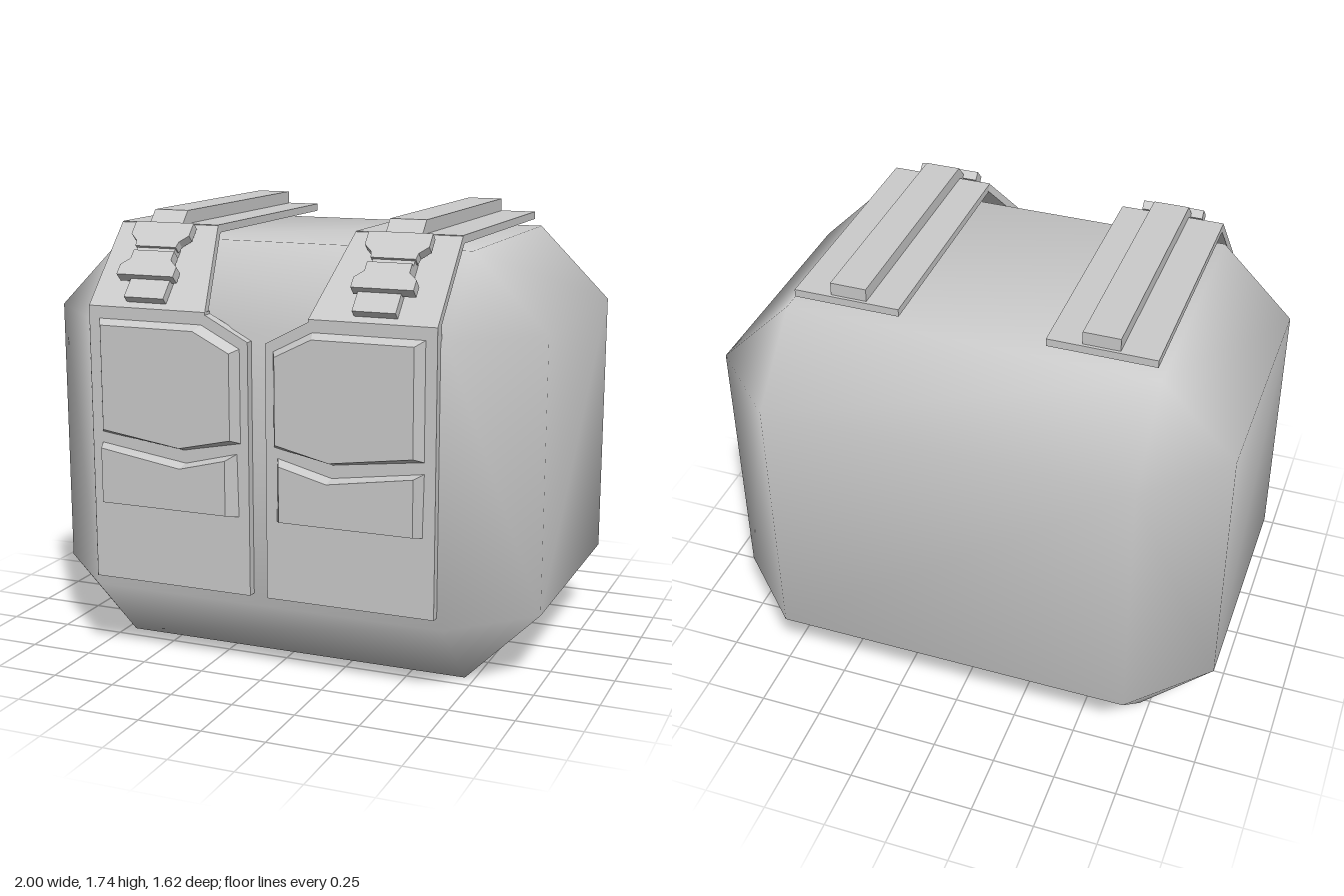
import * as THREE from 'three';
import { mergeVertices } from 'three/addons/utils/BufferGeometryUtils.js';
import { ConvexGeometry } from 'three/addons/geometries/ConvexGeometry.js';

const smoothMat = new THREE.MeshStandardMaterial({ color: 0xcccccc });
const flatMat = new THREE.MeshStandardMaterial({ color: 0xcccccc, flatShading: true });

// Solid between a back outline at depth z0 and a front outline at depth z1
function prism(back, front, z0, z1) {
  const fix = (pts) => pts.map(([x, y]) => new THREE.Vector2(x, y));
  let b = fix(back), f = fix(front);
  if (THREE.ShapeUtils.isClockWise(f)) { b = b.reverse(); f = f.reverse(); }
  const n = f.length, pos = [], idx = [];
  b.forEach((p) => pos.push(p.x, p.y, z0));
  f.forEach((p) => pos.push(p.x, p.y, z1));
  for (let i = 0; i < n; i++) {
    const j = (i + 1) % n;
    idx.push(i, j, n + j, i, n + j, n + i);
  }
  for (const [p, q, r] of THREE.ShapeUtils.triangulateShape(f, [])) idx.push(n + p, n + q, n + r);
  for (const [p, q, r] of THREE.ShapeUtils.triangulateShape(b, [])) idx.push(p, r, q);
  const g = new THREE.BufferGeometry();
  g.setAttribute('position', new THREE.Float32BufferAttribute(pos, 3));
  g.setIndex(idx);
  const out = g.toNonIndexed();
  out.computeVertexNormals();
  return out;
}

function add(group, name, geometry, material = flatMat) {
  const mesh = new THREE.Mesh(geometry, material);
  mesh.name = name;
  group.add(mesh);
  return mesh;
}

// Smooth chamfered block
function bodyGeometry() {
  const h = [1, 0.815, 0.765], c = 0.288, pts = [];
  for (const sx of [-1, 1]) for (const sy of [-1, 1]) for (const sz of [-1, 1])
    for (let axis = 0; axis < 3; axis++) {
      const [x, y, z] = h.map((v, i) => (i === axis ? v : v - c));
      pts.push(new THREE.Vector3(sx * x, sy * y + 0.815, sz * z - 0.045));
    }
  const g = new ConvexGeometry(pts);
  g.deleteAttribute('normal');
  const merged = mergeVertices(g, 1e-4);
  merged.computeVertexNormals();
  return merged;
}

// Frame of the sloped strap: y runs up the slope, z points out of it
const SY = 0.725, SZ = 0.688;
const slope = new THREE.Matrix4().makeBasis(
  new THREE.Vector3(1, 0, 0), new THREE.Vector3(0, SY, -SZ), new THREE.Vector3(0, SZ, SY)
).setPosition(0, 1.4, 0.755);
// Side profiles: local x is the model's z, local z is the model's -x
const sideways = new THREE.Matrix4().makeBasis(
  new THREE.Vector3(0, 0, 1), new THREE.Vector3(0, 1, 0), new THREE.Vector3(-1, 0, 0));

function createSide(s) {
  const side = new THREE.Group();
  side.name = s > 0 ? 'leftStrap' : 'rightStrap';
  const m = (pts) => pts.map(([x, y]) => [x * s, y]);
  const plate = (name, pts, z0, z1, frontPts = pts) => add(side, name, prism(m(pts), m(frontPts), z0, z1));
  const onSlope = (name, pts, z0, z1) => plate(name, pts, z0, z1).geometry.applyMatrix4(slope);

  // Front panel with a cut inner corner
  plate('frontPanel', [[0.035, 0.335], [0.69, 0.335], [0.69, 1.4], [0.205, 1.4], [0.205, 1.39], [0.035, 1.3]], 0.71, 0.755);

  // Pocket and its overhanging flap
  plate('pocketFlap',
    [[0.065, 1.275], [0.22, 1.355], [0.65, 1.355], [0.65, 0.915], [0.3, 0.872], [0.065, 0.918]], 0.75, 0.8,
    [[0.09, 1.262], [0.235, 1.335], [0.62, 1.335], [0.62, 0.935], [0.3, 0.89], [0.09, 0.938]]);
  plate('pocket',
    [[0.075, 0.637], [0.645, 0.637], [0.65, 0.875], [0.295, 0.825], [0.08, 0.88]], 0.75, 0.81,
    [[0.108, 0.652], [0.625, 0.652], [0.625, 0.865], [0.295, 0.814], [0.108, 0.862]]);

  // Sloped and flat parts of the strap
  onSlope('slopedStrap', [[0.205, 0], [0.69, 0], [0.69, 0.4], [0.28, 0.4]], -0.03, 0);
  const top = new THREE.BoxGeometry(0.41, 0.03, 0.975);
  add(side, 'topStrap', top.translate(0.485 * s, 1.675, -0.005));

  // Raised webbing that bends over the front edge
  const at = (v, h) => [0.755 - SZ * v + SY * h, 1.4 + SY * v + SZ * h];
  const web = [[-0.48, 1.685], [-0.48, 1.74], [0.475, 1.74], at(0.2, 0.03), at(0.2, -0.005), [0.47, 1.685]];
  const x0 = -0.48 * s;
  add(side, 'webbing', prism(web, web, x0 - 0.07, x0 + 0.07).applyMatrix4(sideways));

  // Buckle: two flared halves and a tongue
  const flared = (cx, pts) => [
    ...pts.map(([w, v]) => [cx + w, v]),
    ...[...pts].reverse().map(([w, v]) => [cx - w, v])];
  onSlope('buckleUpper', flared(0.475, [[0.085, 0.249], [0.09, 0.275], [0.122, 0.305], [0.122, 0.365]]), 0.015, 0.05);
  onSlope('buckleLower', flared(0.47, [[0.118, 0.11], [0.118, 0.155], [0.085, 0.185], [0.085, 0.225]]), 0.015, 0.057);
  onSlope('buckleBridge', flared(0.475, [[0.08, 0.2], [0.08, 0.27]]), -0.005, 0.04);
  onSlope('buckleTongue', flared(0.455, [[0.082, 0.026], [0.082, 0.13]]), -0.005, 0.032);
  return side;
}

export function createModel() {
  const model = new THREE.Group();
  model.name = 'backpack';
  add(model, 'body', bodyGeometry(), smoothMat);
  for (const s of [1, -1]) model.add(createSide(s));
  return model;
}
